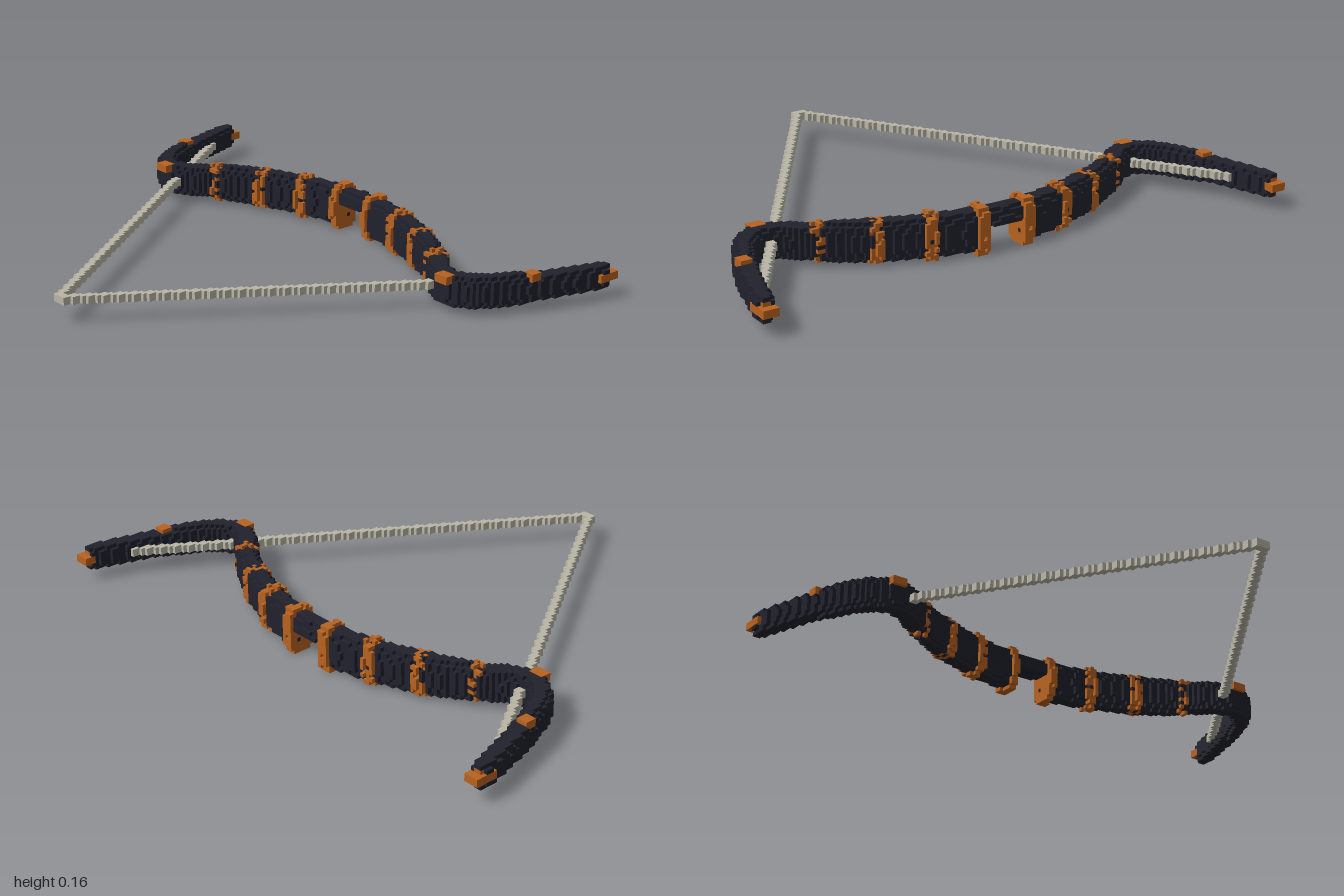
import * as THREE from 'three';

const V = 1 / 74;          // cube size
const CY = 6 * V;          // height of the bow's centre plane

const mat = (name, color) => {
  const m = new THREE.MeshStandardMaterial({ color });
  m.name = name;
  return m;
};

// Sparse cube grid: cell key -> part name
const key = (i, j, k) => `${i},${j},${k}`;

// One mesh from the exposed cube faces of a part
const DIRS = [[1, 0, 0], [-1, 0, 0], [0, 1, 0], [0, -1, 0], [0, 0, 1], [0, 0, -1]];
function buildPart(cells, part, material) {
  const pos = [], nor = [], idx = [];
  for (const [id, p] of cells) {
    if (p !== part) continue;
    const c = id.split(',').map(Number);
    for (const d of DIRS) {
      if (cells.has(key(c[0] + d[0], c[1] + d[1], c[2] + d[2]))) continue;
      const n = new THREE.Vector3(...d);
      const u = new THREE.Vector3(d[1], d[2], d[0]);
      const w = n.clone().cross(u);
      const base = pos.length / 3;
      for (const [a, b] of [[-1, -1], [1, -1], [1, 1], [-1, 1]]) {
        const q = n.clone().addScaledVector(u, a).addScaledVector(w, b).multiplyScalar(0.5);
        pos.push((c[0] + 0.5 + q.x) * V, (c[1] + 0.5 + q.y) * V, (c[2] + 0.5 + q.z) * V);
        nor.push(...d);
      }
      idx.push(base, base + 1, base + 2, base, base + 2, base + 3);
    }
  }
  const g = new THREE.BufferGeometry();
  g.setAttribute('position', new THREE.Float32BufferAttribute(pos, 3));
  g.setAttribute('normal', new THREE.Float32BufferAttribute(nor, 3));
  g.setIndex(idx);
  const mesh = new THREE.Mesh(g, material);
  mesh.name = part;
  return mesh;
}

// Repeatable noise for the ragged edges of the bindings
const noise = (i, j, k) => {
  const s = Math.sin(i * 12.99 + j * 78.23 + k * 37.72) * 43758.55;
  return s - Math.floor(s);
};

export function createModel() {
  const cells = new Map();
  // Adds a cell and its mirror across z = 0
  const put = (i, j, k, part) => {
    cells.set(key(i, j, k), part);
    cells.set(key(i, j, -1 - k), part);
  };

  // Half of the recurved limb, from the grip to the tip
  const curve = new THREE.CatmullRomCurve3([
    [0.535, -0.1], [0.537, 0], [0.53, 0.1], [0.505, 0.23], [0.445, 0.4], [0.355, 0.57], [0.28, 0.67],
    [0.265, 0.73], [0.3, 0.8], [0.42, 0.87], [0.57, 0.925], [0.72, 0.97],
  ].map(([x, z]) => new THREE.Vector3(x, 0, z)));
  const samples = curve.getSpacedPoints(160);

  // Bindings around the limb: position along z, half-width, bulge, share of cubes filled
  const rings = [[0.085, 0.018, 0.014, 0.95], [0.248, 0.018, 0.01, 0.8],
    [0.412, 0.018, 0.008, 0.75], [0.57, 0.016, 0.004, 0.35]];

  for (let i = 15; i < 55; i++) for (let k = 0; k < 74; k++) {
    const x = (i + 0.5) * V, z = (k + 0.5) * V;
    let best = 1, at = 0;
    samples.forEach((p, n) => {
      const d = Math.hypot(p.x - x, p.z - z);
      if (d < best) { best = d; at = n; }
    });
    if (best > 0.08) continue;
    const t = at / 160;
    const width = THREE.MathUtils.lerp(0.041, 0.029, t);
    const height = t < 0.4 ? 0.066 : THREE.MathUtils.lerp(0.064, 0.04, (t - 0.4) / 0.6);
    const ring = rings.find(r => Math.abs(samples[at].z - r[0]) < r[1]);
    const bulge = ring ? ring[2] : 0;
    for (let j = 0; j < 12; j++) {
      const y = (j + 0.5) * V - CY;
      if (z < 0.07 && y < 0.018) continue;   // arrow window under the grip
      const inside = b => (best / (width + b)) ** 3 + (Math.abs(y) / (height + b)) ** 3 < 1;
      const bound = ring && noise(i, j, k) < ring[3];
      if (inside(0)) put(i, j, k, bound ? 'bindings' : 'limbs');
      else if (bound && inside(bulge)) put(i, j, k, 'bindings');
    }
  }

  // Small studs on the bends and on the outer limbs
  const block = (i0, i1, j0, j1, k0, k1, part) => {
    for (let i = i0; i <= i1; i++) for (let j = j0; j <= j1; j++)
      for (let k = k0; k <= k1; k++) put(i, j, k, part);
  };
  block(16, 18, 8, 9, 52, 55, 'bindings');
  block(33, 35, 8, 9, 65, 67, 'bindings');

  // Tips
  block(51, 55, 5, 6, 71, 73, 'tips');
  block(54, 56, 5, 6, 70, 71, 'tips');
  block(53, 54, 4, 7, 71, 72, 'tips');
  block(56, 56, 5, 6, 72, 73, 'tips');

  // Drawn string, two cubes thick, meeting in a point
  for (let i = -57; i <= 47; i++) {
    const k = Math.floor((i + 57) * 0.662);
    for (const j of [5, 6]) for (const dk of [0, 1])
      if (!cells.has(key(i, j, k + dk))) put(i, j, k + dk, 'string');
  }

  const orange = mat('burnt orange', 0xb8621f);
  const model = new THREE.Group();
  model.name = 'bow';
  model.add(
    buildPart(cells, 'limbs', mat('dark navy', 0x20212c)),
    buildPart(cells, 'bindings', orange),
    buildPart(cells, 'tips', orange),
    buildPart(cells, 'string', mat('pale grey', 0xb9b6a6)),
  );
  return model;
}
